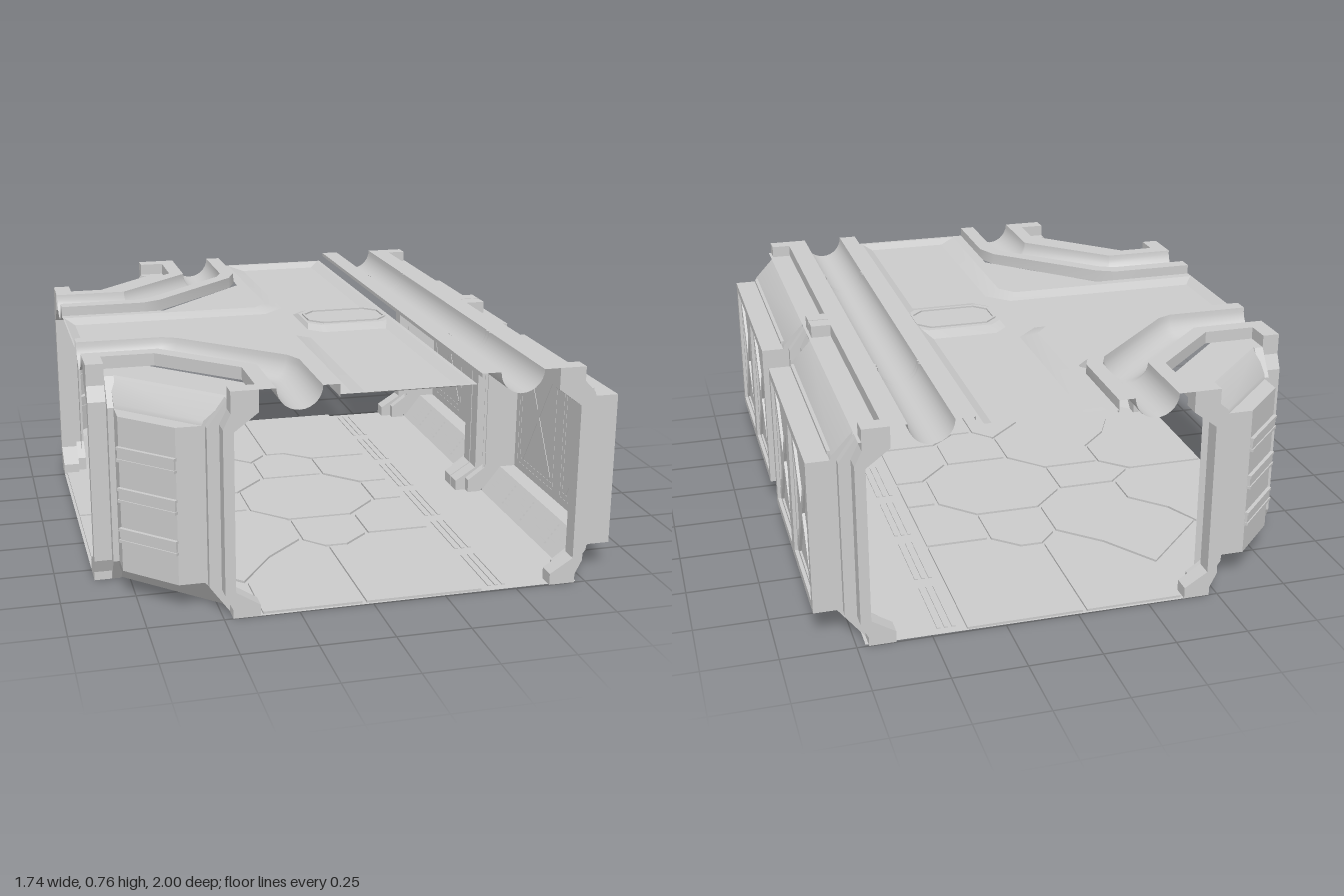
import * as THREE from 'three';
import { toCreasedNormals } from 'three/addons/utils/BufferGeometryUtils.js';

const grey = new THREE.MeshStandardMaterial({ color: 0xcccccc, side: THREE.DoubleSide });

function add(parent, name, geometry, x = 0, y = 0, z = 0) {
  const mesh = new THREE.Mesh(geometry, grey);
  mesh.name = name;
  mesh.position.set(x, y, z);
  parent.add(mesh);
  return mesh;
}

// Skin between successive rows of [x, y, z] points
function loft(rows, closed = false) {
  const pos = [];
  for (let r = 0; r < rows.length - 1; r++) {
    const a = rows[r], b = rows[r + 1], n = a.length;
    for (let i = 0; i < (closed ? n : n - 1); i++) {
      const j = (i + 1) % n;
      pos.push(...a[i], ...b[i], ...b[j], ...a[i], ...b[j], ...a[j]);
    }
  }
  const g = new THREE.BufferGeometry();
  g.setAttribute('position', new THREE.Float32BufferAttribute(pos, 3));
  return toCreasedNormals(g, 0.5);
}

const outline = pts => new THREE.Shape(pts.map(p => new THREE.Vector2(...p)));
const extrude = (shape, depth) => new THREE.ExtrudeGeometry(shape, { depth, bevelEnabled: false });
// Horizontal sheet and slab from [x, z] outlines
const sheet = (shape, y) => new THREE.ShapeGeometry(shape).rotateX(Math.PI / 2).translate(0, y, 0);
const slab = (shape, y, h) => extrude(shape, h).rotateX(Math.PI / 2).translate(0, y + h, 0);
const mirrored = half => [...half, ...half.map(([x, z]) => [x, -z]).reverse()];

// Sweep a [offset, y] section along an [x, z] path with mitred bends
function sweep(path, section) {
  const dirs = path.slice(1).map((p, i) =>
    new THREE.Vector2(p[0] - path[i][0], p[1] - path[i][1]).normalize());
  return loft(path.map(([x, z], i) => {
    const a = dirs[Math.max(i - 1, 0)], b = dirs[Math.min(i, dirs.length - 1)];
    const k = 1 / (1 + a.dot(b));
    const nx = (a.y + b.y) * k, nz = -(a.x + b.x) * k;
    return section.map(([d, y]) => [x + nx * d, y, z + nz * d]);
  }));
}

function channelSection(w0, w1, lipY, radius = 0.075, lift = 0) {
  const arc = [];
  for (let i = 0; i <= 14; i++) {
    const t = Math.PI * i / 14;
    arc.push([-radius * Math.cos(t), 0.763 + lift - radius * Math.sin(t)]);
  }
  const y = 0.763 + lift;
  return [[-w0, lipY], [-w0, y], ...arc, [w1, y], [w1, lipY]];
}

// Two-step door rib: u runs outward from the opening, outer face at z = 0
function rib(parent, name) {
  const g = new THREE.Group();
  g.name = name;
  parent.add(g);
  add(g, 'ribFront', extrude(outline([[0, 0.763], [0, 0.69], [0.08, 0.63], [0.08, 0.09], [0, 0.04], [0, 0],
    [0.09, 0], [0.09, 0.03], [0.115, 0.08], [0.115, 0.64], [0.09, 0.69], [0.09, 0.763]]), 0.06), 0, 0, -0.06);
  add(g, 'ribStep', extrude(outline([[0.04, 0.72], [0.04, 0.68], [0.11, 0.62], [0.11, 0.1], [0.04, 0.05], [0.04, 0],
    [0.09, 0], [0.155, 0.09], [0.155, 0.63], [0.09, 0.72]]), 0.032), 0, 0, -0.092);
  return g;
}

// Wall bay: a profile stretched between two end planes, with end caps
function bay(parent, name, profile, endA, endB) {
  const rows = [endA, endB].map(end => profile.map(([k, y]) => end(k, y)));
  add(parent, name, loft(rows));
  const faces = THREE.ShapeUtils.triangulateShape(profile.map(p => new THREE.Vector2(...p)), []);
  rows.forEach(row => {
    const g = new THREE.BufferGeometry();
    g.setAttribute('position', new THREE.Float32BufferAttribute(faces.flat().flatMap(i => row[i]), 3));
    g.computeVertexNormals();
    add(parent, name + 'End', g);
  });
}

function rect(x0, x1, y0, y1) {
  return [[x0, y0], [x1, y0], [x1, y1], [x0, y1]];
}

function sideWall(parent) {
  bay(parent, 'sideWall',
    [[0.72, 0.72], [0.79, 0.645], [0.795, 0.63], [0.856, 0.63], [0.856, 0.095], [0.795, 0.095], [0.72, 0]],
    (k, y) => [k, y, 0.09], (k, y) => [k, y, 0.91]);
  add(parent, 'sideSoffit', sheet(outline(rect(0.64, 0.72, 0.0, 1)), 0.72));
  add(parent, 'sideLip', loft([[[0.64, 0.72, 0], [0.64, 0.763, 0]], [[0.64, 0.72, 1], [0.64, 0.763, 1]]]));
  add(parent, 'slopeRail', new THREE.BoxGeometry(0.012, 0.012, 0.76), 0.793, 0.643, 0.5);

  // Outer frame with two framed cross panels
  const frame = outline(rect(-0.91, -0.09, 0.095, 0.63));
  const centres = [0.295, 0.705];
  for (const c of centres) frame.holes.push(new THREE.Path(rect(-c - 0.175, -c + 0.175, 0.125, 0.6).map(p => new THREE.Vector2(...p))));
  add(parent, 'panelFrame', extrude(frame, 0.018).rotateY(Math.PI / 2), 0.855);
  for (const c of centres) {
    const rim = outline(rect(-0.165, 0.165, 0.135, 0.59));
    rim.holes.push(new THREE.Path(rect(-0.152, 0.152, 0.148, 0.577).map(p => new THREE.Vector2(...p))));
    add(parent, 'panelRim', extrude(rim, 0.008).rotateY(Math.PI / 2), 0.855, 0, c);
    for (const s of [-1, 1]) {
      add(parent, 'crossBar', new THREE.BoxGeometry(0.012, 0.485, 0.028), 0.86, 0.3625, c).rotation.x = s * 0.57;
    }
    // Vent slats on the lower slope
    for (let i = 0; i < 5; i++) {
      const t = 0.2 + i * 0.16;
      for (const s of [-1, 1]) {
        add(parent, 'ventSlat', new THREE.BoxGeometry(0.014, 0.008, 0.165),
          0.72 + 0.075 * t, 0.095 * t, c + s * 0.09).rotation.z = -0.67;
      }
    }
  }
}

function cornerWall(parent) {
  bay(parent, 'cornerWall',
    [[1.36, 0.72], [1.45, 0.645], [1.455, 0.63], [1.54, 0.63], [1.54, 0.095], [1.455, 0.095], [1.36, 0]],
    (k, y) => [-0.79, y, k - 0.79], (k, y) => [0.91 - k, y, 0.91]);
  const soffit = outline([[-0.87, 0.5], [-0.65, 0.5], [-0.38, 0.77], [-0.38, 1], [-0.45, 1], [-0.45, 0.91], [-0.79, 0.57], [-0.87, 0.57]]);
  add(parent, 'cornerSoffit', sheet(soffit, 0.72));
  // Double ledges across the diagonal face
  for (const y of [0.225, 0.365, 0.505]) {
    const ledge = new THREE.Group();
    ledge.name = 'ledge';
    ledge.position.set(-0.707, y, 0.827);
    ledge.rotation.y = -Math.PI / 4;
    parent.add(ledge);
    add(ledge, 'ledgeBody', new THREE.BoxGeometry(0.225, 0.036, 0.026));
    for (const s of [-1, 1]) add(ledge, 'ledgeEdge', new THREE.BoxGeometry(0.23, 0.01, 0.034), 0, s * 0.02);
  }
}

function floor(parent) {
  add(parent, 'floorBase', sheet(outline(mirrored([[0.72, 0.99], [-0.45, 1], [-0.45, 0.91], [-0.79, 0.57], [-0.87, 0.57]])), 0));
  const centre = [
    mirrored([[0.26, 0.1], [0.14, 0.22], [-0.1, 0.22], [-0.22, 0.1]]),
    mirrored([[-0.235, 0.09], [-0.45, 0.09], [-0.54, 0.003]]),
    mirrored([[0.38, 0.095], [0.275, 0.095]]),
  ];
  const sides = [
    [[-0.86, 0.007], [-0.56, 0.007], [-0.46, 0.1], [-0.46, 0.24], [-0.58, 0.36], [-0.64, 0.49], [-0.86, 0.49]],
    [[-0.45, 0.105], [-0.23, 0.105], [-0.11, 0.23], [-0.11, 0.42], [-0.25, 0.55], [-0.38, 0.74], [-0.63, 0.49], [-0.57, 0.37], [-0.45, 0.25]],
    [[-0.095, 0.235], [0.14, 0.235], [0.14, 0.42], [0.05, 0.5], [-0.03, 0.5], [-0.095, 0.43]],
    [[-0.105, 0.435], [-0.035, 0.513], [-0.035, 0.99], [-0.37, 0.99], [-0.37, 0.755], [-0.24, 0.56]],
    [[-0.02, 0.515], [0.055, 0.515], [0.155, 0.43], [0.38, 0.43], [0.38, 0.99], [-0.02, 0.99]],
    [[0.155, 0.235], [0.275, 0.11], [0.38, 0.11], [0.38, 0.415], [0.155, 0.415]],
  ];
  for (const p of [...centre, ...sides, ...sides.map(s => s.map(([x, z]) => [x, -z]))]) {
    add(parent, 'floorPanel', slab(outline(p), 0.001, 0.008));
  }
  // Grating strips beside the wall
  for (let i = 0; i < 6; i++) {
    for (const x of [0.42, 0.445, 0.47]) {
      add(parent, 'floorGrating', new THREE.BoxGeometry(0.012, 0.004, 0.27), x, 0.002, -0.825 + i * 0.33);
    }
  }
}

function ceiling(parent) {
  const outer = mirrored([[0.32, 0.985], [-0.08, 0.985], [-0.08, 0.26], [-0.13, 0.2], [-0.865, 0.2]]);
  const inner = mirrored([[0.285, 0.95], [-0.02, 0.95], [-0.02, 0.235], [-0.1, 0.155], [-0.83, 0.155]]);
  const rim = outline(mirrored([[0.335, 1], [-0.12, 1], [-0.12, 0.6], [-0.48, 0.235], [-0.87, 0.235]]));
  rim.holes.push(new THREE.Path(outer.map(p => new THREE.Vector2(...p))));
  const at = (pts, y) => pts.map(([x, z]) => [x, y, z]);
  add(parent, 'ceilingRim', sheet(rim, 0.729));
  add(parent, 'ceilingBevel', loft([at(outer, 0.729), at(inner, 0.711)], true));
  add(parent, 'ceilingPan', sheet(outline(inner), 0.711));

  // Raised octagonal hatch
  const oct = (x0, x1, z, c) => mirrored([[x1, z - c], [x1 - c, z], [x0 + c, z], [x0, z - c]]);
  const lid = oct(0.02, 0.32, 0.095, 0.045);
  add(parent, 'hatchBase', loft([at(oct(0, 0.335, 0.17, 0.05), 0.711), at(oct(0.01, 0.33, 0.115, 0.04), 0.725)], true));
  add(parent, 'hatchTop', sheet(outline(oct(0.01, 0.33, 0.115, 0.04)), 0.725));
  const ring = outline(lid);
  ring.holes.push(new THREE.Path(oct(0.028, 0.312, 0.087, 0.042).map(p => new THREE.Vector2(...p))));
  add(parent, 'hatchRing', slab(ring, 0.725, 0.006));

  // Straight half-pipe channel with paired bands
  add(parent, 'straightChannel', sweep([[0.49, -1], [0.49, 1]], channelSection(0.14, 0.15, 0.75)));
  for (const z of [-0.515, -0.49, 0.485, 0.51]) {
    add(parent, 'channelBand', sweep([[0.49, z - 0.006], [0.49, z + 0.006]], channelSection(0.14, 0.15, 0.75, 0.07, 0)));
  }
}

export function createModel() {
  const model = new THREE.Group();
  model.name = 'corridorJunction';
  floor(model);
  ceiling(model);

  // Everything repeated on both sides of the side opening
  const half = new THREE.Group();
  half.name = 'frontHalf';
  sideWall(half);
  cornerWall(half);
  add(half, 'cornerChannel', sweep(
    [[-0.87, 0.37], [-0.59, 0.37], [-0.565, 0.382], [-0.265, 0.67], [-0.25, 0.705], [-0.25, 1]],
    channelSection(0.13, 0.13, 0.72)));
  rib(half, 'sideEndRib').position.set(0.62, 0, 1);
  const middle = rib(half, 'sideMiddleRib');
  middle.position.set(0.62, 0, 0.003);
  middle.scale.z = -1;
  const cornerRib = rib(half, 'cornerRib');
  cornerRib.position.set(-0.38, 0, 1);
  cornerRib.scale.x = -1;
  const openingRib = rib(half, 'openingRib');
  openingRib.position.set(-0.87, 0, 0.5);
  openingRib.rotation.y = -Math.PI / 2;

  const back = half.clone();
  back.name = 'backHalf';
  back.scale.z = -1;
  model.add(half, back);
  return model;
}
